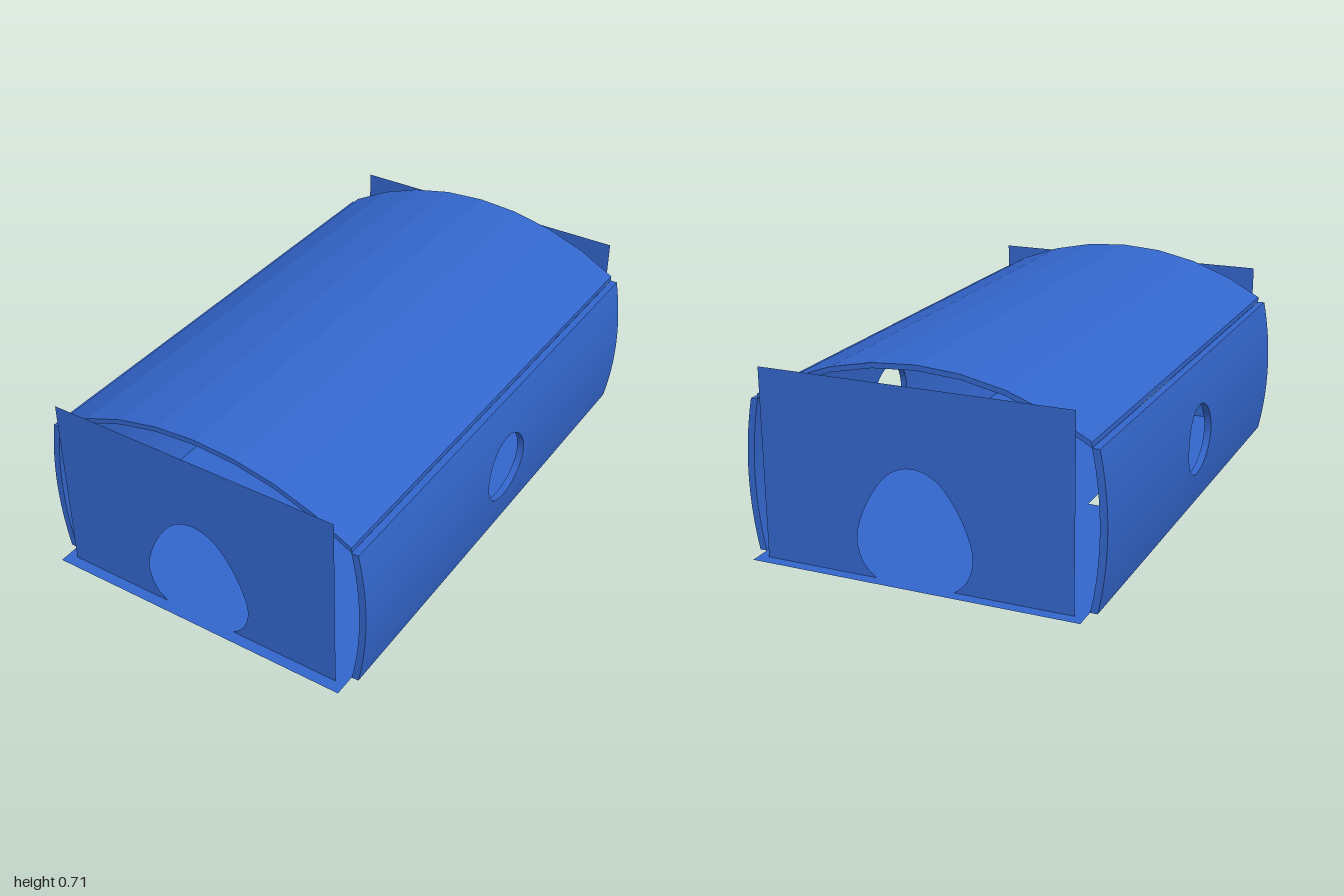
import * as THREE from 'three';
import { toCreasedNormals } from 'three/addons/utils/BufferGeometryUtils.js';

const solid = new THREE.MeshStandardMaterial({ color: 0x3366cc });
const sheet = new THREE.MeshStandardMaterial({ color: 0x3366cc, side: THREE.DoubleSide });
const HALF_LENGTH = 0.92, WALL_HEIGHT = 0.53;

function add(group, name, geometry, material) {
  const mesh = new THREE.Mesh(geometry, material);
  mesh.name = name;
  group.add(mesh);
  return mesh;
}

// Arched roof: a thin faceted arc swept along z
function roofGeometry() {
  const R = 1.084, half = Math.asin(0.575 / R), n = 8, outer = [], inner = [];
  for (let i = 0; i <= n; i++) {
    const a = half * (1 - 2 * i / n);
    const x = R * Math.sin(a), y = 0.714 - R * (1 - Math.cos(a));
    outer.push(new THREE.Vector2(x, y));
    inner.unshift(new THREE.Vector2(x, y - 0.018));
  }
  const g = new THREE.ExtrudeGeometry(new THREE.Shape([...outer, ...inner]),
    { depth: 2 * HALF_LENGTH, bevelEnabled: false });
  return g.translate(0, 0, -HALF_LENGTH);
}

// Bowed side wall: rings run from the round hole out to the rectangular edge,
// across the outer skin and back along the inner skin
function wallGeometry() {
  const perSide = 16, count = perSide * 4, steps = 12, holeR = 0.128, holeY = 0.258;
  const corners = [[1, 1], [-1, 1], [-1, -1], [1, -1]];
  const rings = [];
  for (let j = 0; j <= steps; j++) rings.push([j / steps, 0]);
  for (let j = steps; j >= 0; j--) rings.push([j / steps, 0.025]);
  const pos = [], index = [];
  for (const [t, inset] of rings) {
    for (let i = 0; i < count; i++) {
      const k = Math.floor(i / perSide), f = (i % perSide) / perSide;
      const p = corners[k], q = corners[(k + 1) % 4];
      const edgeR = THREE.MathUtils.lerp(p[0], q[0], f) * HALF_LENGTH;
      const edgeY = (THREE.MathUtils.lerp(p[1], q[1], f) + 1) * WALL_HEIGHT / 2;
      const a = Math.PI / 4 + i / count * Math.PI * 2;
      const r = THREE.MathUtils.lerp(holeR * Math.cos(a), edgeR, t);
      const y = THREE.MathUtils.lerp(holeY + holeR * Math.sin(a), edgeY, t);
      const bow = 0.028 * (1 - (2 * y / WALL_HEIGHT - 1) ** 2);
      pos.push(0.6 + bow - inset, y, -r);
    }
  }
  for (let j = 0; j < rings.length; j++) {
    const j2 = (j + 1) % rings.length;
    for (let i = 0; i < count; i++) {
      const i2 = (i + 1) % count;
      const a = j * count + i, b = j * count + i2, c = j2 * count + i2, d = j2 * count + i;
      index.push(a, d, c, a, c, b);
    }
  }
  const g = new THREE.BufferGeometry();
  g.setAttribute('position', new THREE.Float32BufferAttribute(pos, 3));
  g.setIndex(index);
  return toCreasedNormals(g, 0.6);
}

// Thin end plate with an egg-shaped doorway open at the bottom
function endGeometry() {
  const half = [[0.138, 0], [0.182, 0.045], [0.203, 0.12], [0.186, 0.2], [0.142, 0.29], [0.08, 0.363]];
  const arch = [
    ...half.map(([x, y]) => new THREE.Vector2(-x, y)),
    new THREE.Vector2(0, 0.39),
    ...half.map(([x, y]) => new THREE.Vector2(x, y)).reverse(),
  ];
  const s = new THREE.Shape();
  s.moveTo(-0.54, 0);
  s.lineTo(arch[0].x, 0);
  s.splineThru(arch.slice(1));
  s.lineTo(0.54, 0);
  s.lineTo(0.54, 0.655);
  s.lineTo(-0.54, 0.655);
  s.closePath();
  return new THREE.ShapeGeometry(s, 4);
}

// Rectangle outline in the floor plane
function rectangle(x, z, w, d) {
  return [[-1, -1], [1, -1], [1, 1], [-1, 1]]
    .map(([a, b]) => new THREE.Vector2(x + a * w / 2, z + b * d / 2));
}

export function createModel() {
  const group = new THREE.Group();
  group.name = 'shelter';

  // Flat floor with a narrow slot
  const floor = new THREE.Shape(rectangle(0, 0, 1.15, 2));
  floor.holes.push(new THREE.Path(rectangle(-0.29, 0, 0.065, 0.245)));
  add(group, 'floor', new THREE.ShapeGeometry(floor).rotateX(-Math.PI / 2), sheet);

  add(group, 'roof', roofGeometry(), solid);

  // Matching walls and end plates, the second of each turned half round
  const wall = wallGeometry(), end = endGeometry();
  add(group, 'leftWall', wall, solid);
  add(group, 'rightWall', wall, solid).rotation.y = Math.PI;
  add(group, 'frontPlate', end, sheet).position.z = 0.96;
  const back = add(group, 'backPlate', end, sheet);
  back.rotation.y = Math.PI;
  back.position.z = -0.96;

  return group;
}
